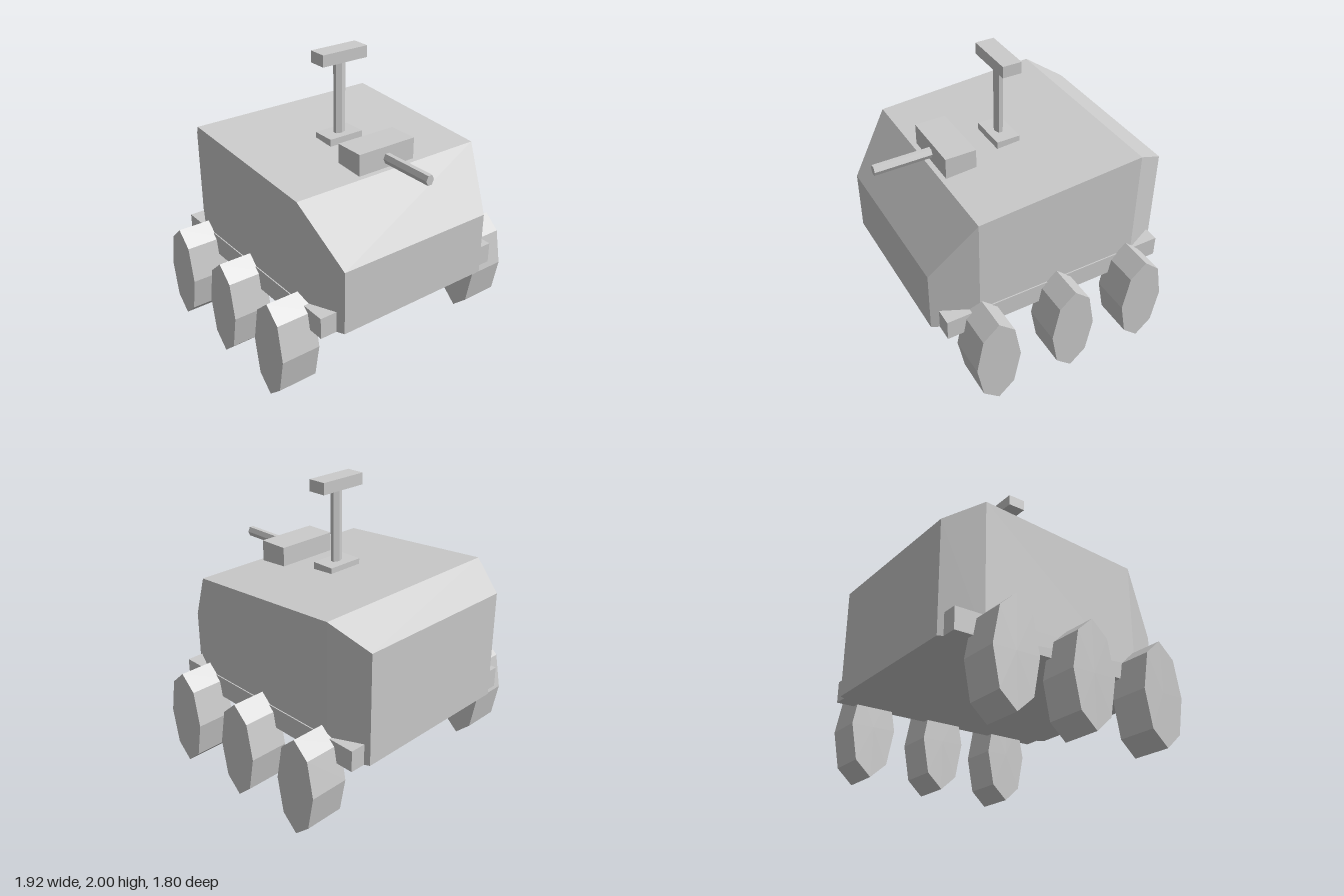
import * as THREE from 'three';

const material = new THREE.MeshStandardMaterial({ color: 0xcccccc, flatShading: true });

function add(parent, name, geometry, x = 0, y = 0, z = 0) {
  const mesh = new THREE.Mesh(geometry, material);
  mesh.name = name;
  mesh.position.set(x, y, z);
  parent.add(mesh);
  return mesh;
}

// Box given by its lower and upper limits on each axis
function addBox(parent, name, [x0, x1], [y0, y1], [z0, z1]) {
  return add(parent, name, new THREE.BoxGeometry(x1 - x0, y1 - y0, z1 - z0),
    (x0 + x1) / 2, (y0 + y1) / 2, (z0 + z1) / 2);
}

// Armoured body lofted from rectangular sections, rear to front
function hullGeometry() {
  const bottom = 0.487;
  const sections = [ // z, half width, top
    [-0.9, 0.608, 1.258],
    [-0.651, 0.725, 1.414],
    [0.536, 0.725, 1.334],
    [0.828, 0.589, 0.936],
  ];
  const rings = sections.map(([z, w, top]) =>
    [[-w, bottom, z], [w, bottom, z], [w, top, z], [-w, top, z]]);
  const positions = [];
  const quad = (a, b, c, d) => positions.push(...a, ...b, ...c, ...a, ...c, ...d);
  for (let i = 0; i < rings.length - 1; i++) {
    for (let j = 0; j < 4; j++) {
      const k = (j + 1) % 4;
      quad(rings[i][j], rings[i][k], rings[i + 1][k], rings[i + 1][j]);
    }
  }
  const [a, b, c, d] = rings[0];
  quad(d, c, b, a);
  quad(...rings[rings.length - 1]);
  const geometry = new THREE.BufferGeometry();
  geometry.setAttribute('position', new THREE.Float32BufferAttribute(positions, 3));
  geometry.computeVertexNormals();
  return geometry;
}

export function createModel() {
  const model = new THREE.Group();
  model.name = 'sixWheeledVehicle';

  add(model, 'hull', hullGeometry());

  // Side rails and wheels, mirrored left and right
  const wheel = new THREE.CylinderGeometry(1, 1, 0.277, 8).rotateZ(Math.PI / 2).scale(1, 0.35, 0.161);
  for (const [side, s] of [['left', 1], ['right', -1]]) {
    const gear = new THREE.Group();
    gear.name = side + 'RunningGear';
    model.add(gear);
    const xs = [0.608 * s, 0.733 * s].sort((p, q) => p - q);
    addBox(gear, side + 'Rail', xs, [0.487, 0.635], [-0.865, 0.776]);
    [['Front', 0.526], ['Middle', -0.039], ['Rear', -0.602]].forEach(([place, z]) =>
      add(gear, side + place + 'Wheel', wheel, 0.8205 * s, 0.35, z));
  }

  // Gun mount with a six-sided barrel
  const gun = new THREE.Group();
  gun.name = 'gun';
  model.add(gun);
  addBox(gun, 'gunMount', [-0.224, 0.224], [1.335, 1.485], [0.284, 0.501]);
  const barrel = new THREE.CylinderGeometry(1, 1, 0.5, 6)
    .rotateY(Math.PI / 2).rotateX(Math.PI / 2).scale(0.031, 0.038, 1);
  add(gun, 'barrel', barrel, 0, 1.402, 0.65);

  // Sensor mast
  const mast = new THREE.Group();
  mast.name = 'sensorMast';
  model.add(mast);
  addBox(mast, 'mastBase', [-0.133, 0.133], [1.355, 1.415], [-0.088, 0.08]);
  const pole = new THREE.CylinderGeometry(1, 1, 0.53, 6).scale(0.045, 1, 0.028);
  add(mast, 'mastPole', pole, 0, 1.665, 0);
  addBox(mast, 'sensorHead', [-0.178, 0.178], [1.92, 2], [-0.066, 0.066]);

  return model;
}
